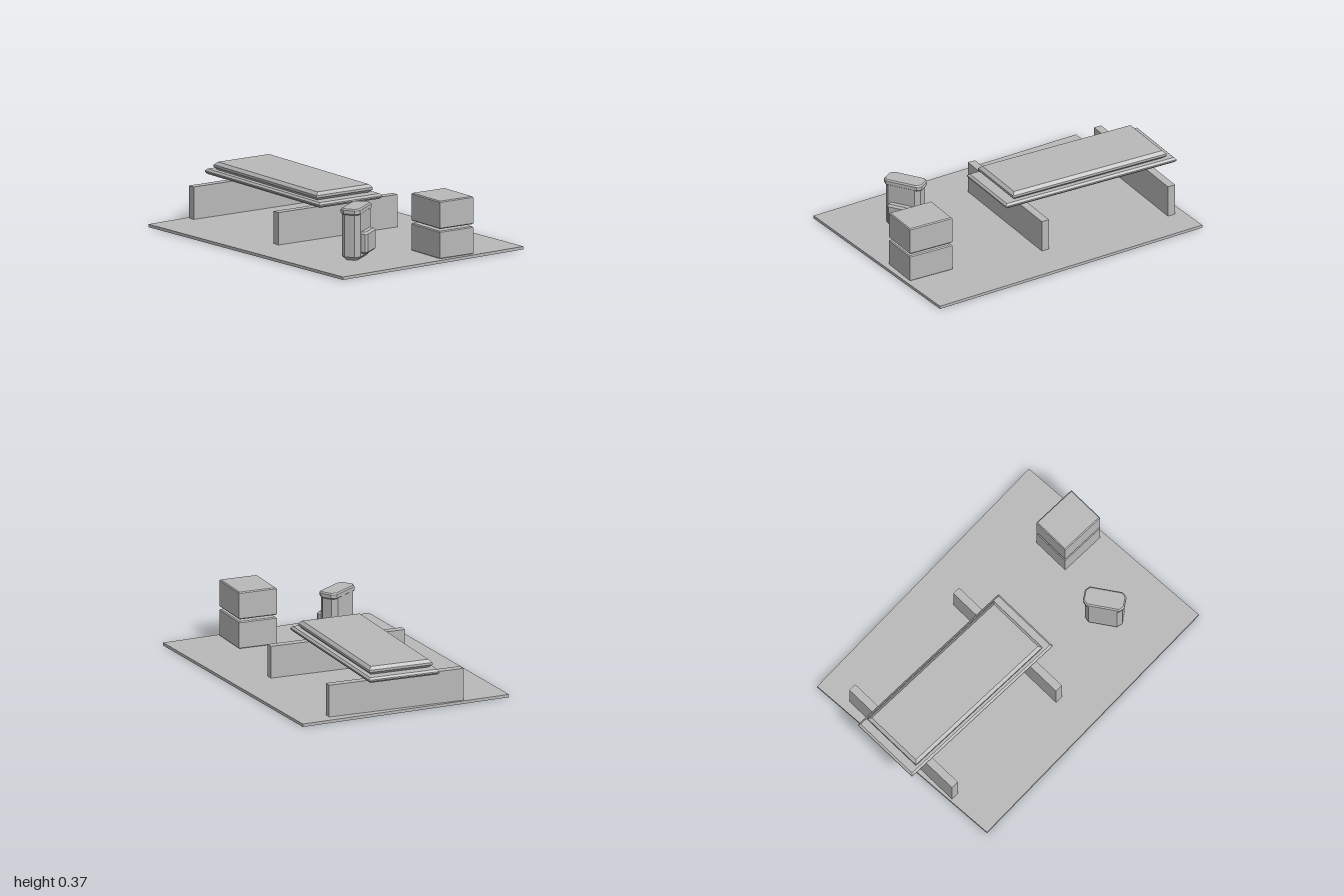
import * as THREE from 'three';

const grey = new THREE.MeshStandardMaterial({ color: 0xb8b8b8 });
grey.name = 'plain grey';

// Box standing on y = 0 with chamfered rims (bevel) and cut vertical corners (cut)
function chamferBox(w, h, d, bevel, cut = 0) {
  const x = w / 2, z = d / 2, pts = [];
  for (const [sx, sz, flip] of [[1, 1, 0], [-1, 1, 1], [-1, -1, 0], [1, -1, 1]]) {
    const a = new THREE.Vector2(sx * x, sz * (z - cut));
    const b = new THREE.Vector2(sx * (x - cut), sz * z);
    if (!cut) pts.push(new THREE.Vector2(sx * x, sz * z));
    else pts.push(...(flip ? [b, a] : [a, b]));
  }
  const geometry = new THREE.ExtrudeGeometry(new THREE.Shape(pts), {
    depth: h - 2 * bevel, bevelEnabled: true, bevelSegments: 1,
    bevelThickness: bevel, bevelSize: bevel, bevelOffset: -bevel,
  });
  geometry.translate(0, 0, bevel);
  return geometry.rotateX(-Math.PI / 2);
}

function add(parent, name, geometry, x, y, z) {
  const mesh = new THREE.Mesh(geometry, grey);
  mesh.name = name;
  mesh.position.set(x, y, z);
  parent.add(mesh);
  return mesh;
}

export function createModel() {
  const model = new THREE.Group();
  model.name = 'campBed';

  // Ground sheet, slightly turned
  const sheet = add(model, 'groundSheet', new THREE.BoxGeometry(1.872, 0.018, 1.372), 0.03, 0.009, -0.002);
  sheet.rotation.y = 0.051;

  // Bed: two cross supports, board and mattress
  for (const x of [-0.845, 0.027]) {
    add(model, 'bedSupport', new THREE.BoxGeometry(0.05, 0.2, 0.872), x, 0.116, -0.002);
  }
  add(model, 'bedBoard', chamferBox(1.18, 0.032, 0.46, 0.012), -0.41, 0.238, -0.004);
  add(model, 'mattress', chamferBox(1.06, 0.05, 0.41, 0.018), -0.413, 0.269, -0.004);

  // Two stacked crates
  [0.016, 0.199].forEach((y, i) => {
    add(model, i ? 'upperCrate' : 'lowerCrate', chamferBox(0.294, 0.17, 0.245, 0.006), 0.778, y, -0.248);
  });

  // Backpack with top flap and front pocket
  const pack = new THREE.Group();
  pack.name = 'backpack';
  pack.position.set(0.591, 0.018, 0.25);
  pack.rotation.y = 0.604;
  add(pack, 'packBody', chamferBox(0.118, 0.312, 0.228, 0.022, 0.028), 0, 0, 0);
  add(pack, 'packFlap', chamferBox(0.122, 0.038, 0.252, 0.008, 0.026), 0, 0.279, 0);
  add(pack, 'packPocket', chamferBox(0.06, 0.134, 0.16, 0.012, 0.014), 0.07, 0.039, 0);
  model.add(pack);

  return model;
}
